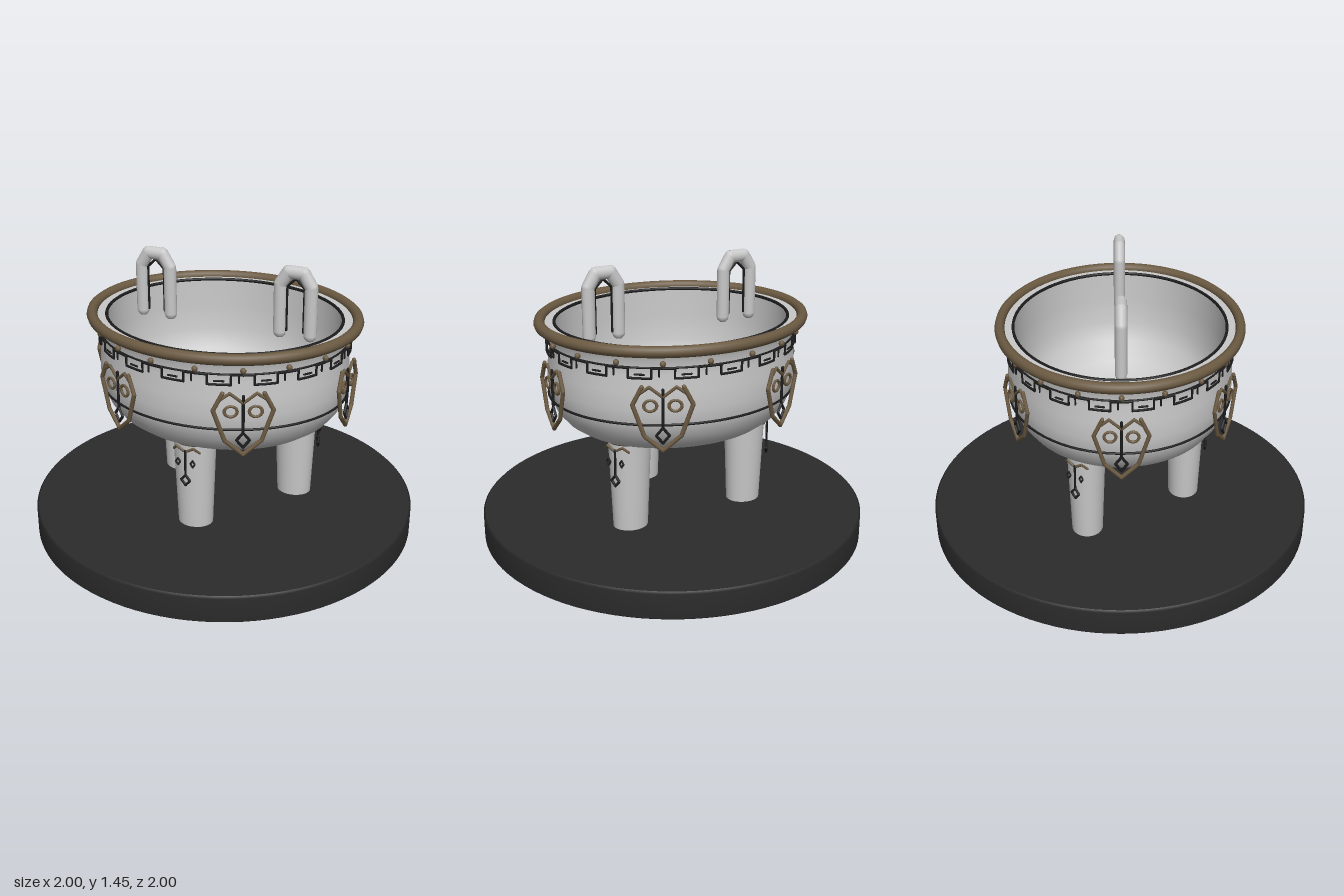
import * as THREE from 'three';
import { mergeGeometries } from 'three/addons/utils/BufferGeometryUtils.js';

const mat = (name, color, side = THREE.FrontSide) => {
  const m = new THREE.MeshStandardMaterial({ color, side });
  m.name = name;
  return m;
};

export function createModel() {
  const paleMetal = mat('paleMetal', 0xc8c8c8, THREE.DoubleSide);
  const bronze = mat('bronze', 0x6b5a42);
  const darkInlay = mat('darkInlay', 0x1c1c1c);
  const baseBlack = mat('baseBlack', 0x2b2b2b);

  const model = new THREE.Group();
  model.name = 'cauldronOnBase';
  const vessel = new THREE.Group();
  vessel.name = 'vessel';
  vessel.scale.z = 0.88; // oval plan
  model.add(vessel);

  const add = (parent, name, geo, material) => {
    const m = new THREE.Mesh(geo, material);
    m.name = name;
    parent.add(m);
    return m;
  };

  // Group on a spoke from the axis; its local +z points outward
  const spoke = (name, angle) => {
    const g = new THREE.Group();
    g.name = name;
    g.rotation.y = angle;
    vessel.add(g);
    return g;
  };

  const v2 = (list) => list.map(([x, y]) => new THREE.Vector2(x, y));
  const lathe = (list, seg = 72) => new THREE.LatheGeometry(v2(list), seg);

  // Round bars along straight segments, with ball joints
  const up = new THREE.Vector3(0, 1, 0);
  const bars = (points, r, sides = 8) => {
    const pts = points.map((p) => new THREE.Vector3(p[0], p[1], p[2] || 0));
    const parts = [];
    pts.forEach((p, i) => {
      parts.push(new THREE.SphereGeometry(r, sides, 6).translate(p.x, p.y, p.z));
      if (!i) return;
      const d = p.clone().sub(pts[i - 1]);
      const c = new THREE.CylinderGeometry(r, r, d.length(), sides, 1, true);
      c.applyQuaternion(new THREE.Quaternion().setFromUnitVectors(up, d.normalize()));
      const mid = p.clone().add(pts[i - 1]).multiplyScalar(0.5);
      parts.push(c.translate(mid.x, mid.y, mid.z));
    });
    return mergeGeometries(parts);
  };
  const diamond = (x, y, w, h, z, r) =>
    bars([[x, y + h, z], [x + w, y, z], [x, y - h, z], [x - w, y, z], [x, y + h, z]], r, 6);
  const ring = (R, r, y, seg = 72) =>
    new THREE.TorusGeometry(R, r, 10, seg).rotateX(Math.PI / 2).translate(0, y, 0);

  // Round base with softened edges
  add(model, 'base', new THREE.CylinderGeometry(0.99, 0.99, 0.145, 96).translate(0, 0.0725, 0), baseBlack);
  add(model, 'baseEdge', lathe([[0.99, 0], [1, 0.01], [1, 0.135], [0.99, 0.145]], 96), baseBlack);

  // Bowl: outer skin, inner skin, flat bottom ring and lip
  add(vessel, 'bowlOuter', lathe([[0.3, 0.565], [0.4, 0.585], [0.51, 0.622], [0.565, 0.66], [0.61, 0.715],
    [0.638, 0.78], [0.648, 0.86], [0.645, 0.95], [0.635, 1.03], [0.635, 1.1], [0.665, 1.15]]), paleMetal);
  add(vessel, 'bowlUnderside', lathe([[0.18, 0.585], [0.18, 0.565], [0.3, 0.565]]), paleMetal);
  add(vessel, 'bowlFloor', lathe([[0.28, 0.585], [0.18, 0.585]]), paleMetal);
  add(vessel, 'bowlInner', lathe([[0.605, 1.155], [0.6, 1.0], [0.59, 0.87], [0.555, 0.77],
    [0.475, 0.68], [0.38, 0.625], [0.28, 0.585]]), paleMetal);
  add(vessel, 'bowlLip', lathe([[0.67, 1.155], [0.605, 1.155]]), paleMetal);

  // Rings round the bowl
  add(vessel, 'rim', ring(0.68, 0.028, 1.157, 96), bronze);
  add(vessel, 'innerRimLine', ring(0.605, 0.008, 1.155), darkInlay);
  add(vessel, 'waistLine', ring(0.645, 0.006, 0.79), darkInlay);
  add(vessel, 'bandLine', ring(0.638, 0.005, 1.068), darkInlay);

  // Meander band and studs, eighteen repeats
  const step = Math.PI / 9;
  const polar = (f, y, r = 0.648) => [r * Math.sin(f * step), y, r * Math.cos(f * step)];
  const fret = mergeGeometries([
    bars([polar(-0.5, 1.068), polar(-0.25, 1.068), polar(-0.25, 1.02), polar(0, 1.02),
      polar(0.25, 1.02), polar(0.25, 1.068), polar(0.5, 1.068)], 0.006, 6),
    bars([polar(-0.1, 1.038), polar(0.1, 1.038)], 0.005, 6),
    bars([polar(0.42, 1.068), polar(0.42, 1.03)], 0.005, 6),
  ]);
  const stud = new THREE.SphereGeometry(0.015, 12, 8).translate(0, 1.092, 0.655);
  for (let i = 0; i < 18; i++) {
    add(spoke('meanderUnit', i * step), 'meander', fret, darkInlay);
    add(spoke('studUnit', (i + 0.5) * step), 'stud', stud, bronze);
  }

  // Six masks round the belly
  const eye = (s) => new THREE.TorusGeometry(0.027, 0.007, 8, 20).scale(1.15, 1, 1).translate(s * 0.06, 0.893, 0.665);
  const Z = 0.665;
  const maskFrame = mergeGeometries([
    bars([[-0.1, 0.985, Z], [-0.145, 0.9, Z], [-0.09, 0.745, Z], [0, 0.67, Z],
      [0.09, 0.745, Z], [0.145, 0.9, Z], [0.1, 0.985, Z]], 0.011),
    bars([[-0.125, 0.945, Z], [-0.065, 0.985, Z], [0, 0.935, Z], [0.065, 0.985, Z], [0.125, 0.945, Z]], 0.008),
    eye(-1), eye(1),
  ]);
  const maskNose = mergeGeometries([
    bars([[0, 0.97, Z], [0, 0.79, Z]], 0.008, 6),
    diamond(0, 0.745, 0.032, 0.038, Z, 0.007),
  ]);
  for (let i = 0; i < 6; i++) {
    const g = spoke('mask', Math.PI / 2 + (i * Math.PI) / 3);
    add(g, 'maskFrame', maskFrame, bronze);
    add(g, 'maskNose', maskNose, darkInlay);
  }

  // Three tapered legs with a small face on the outer side
  const legGeo = new THREE.CylinderGeometry(0.11, 0.09, 0.48, 32).translate(0, 0.38, 0.39);
  const collarGeo = ring(0.106, 0.008, 0.618, 32).translate(0, 0, 0.39);
  const L = 0.515;
  const brows = mergeGeometries([-1, 1].map((s) =>
    bars([[s * 0.07, 0.585, L - 0.02], [s * 0.045, 0.61, L], [s * 0.01, 0.59, L]], 0.007, 6)));
  const legFace = mergeGeometries([
    diamond(-0.04, 0.525, 0.012, 0.018, L, 0.005),
    diamond(0.04, 0.525, 0.012, 0.018, L, 0.005),
    bars([[0, 0.59, L], [0, 0.46, L]], 0.006, 6),
    diamond(0, 0.428, 0.024, 0.028, L, 0.007),
  ]);
  for (let i = 0; i < 3; i++) {
    const g = spoke('legUnit', (i * 2 * Math.PI) / 3);
    add(g, 'leg', legGeo, paleMetal);
    add(g, 'legCollar', collarGeo, bronze);
    add(g, 'legBrows', brows, bronze);
    add(g, 'legFace', legFace, darkInlay);
  }

  // Pair of upright loop handles with a dark inner line
  const handleGeo = bars([[-0.08, 1.11], [-0.08, 1.355], [-0.04, 1.42], [0.04, 1.42], [0.08, 1.355], [0.08, 1.11]], 0.033, 16);
  const handleLine = bars([[-0.046, 1.12], [-0.046, 1.345], [0, 1.39], [0.046, 1.345], [0.046, 1.12]], 0.007, 6);
  for (const s of [-1, 1]) {
    const g = new THREE.Group();
    g.name = s > 0 ? 'leftHandle' : 'rightHandle';
    g.position.x = s * 0.382;
    vessel.add(g);
    add(g, 'handleLoop', handleGeo, paleMetal);
    add(g, 'handleInnerLine', handleLine, darkInlay);
  }

  return model;
}
